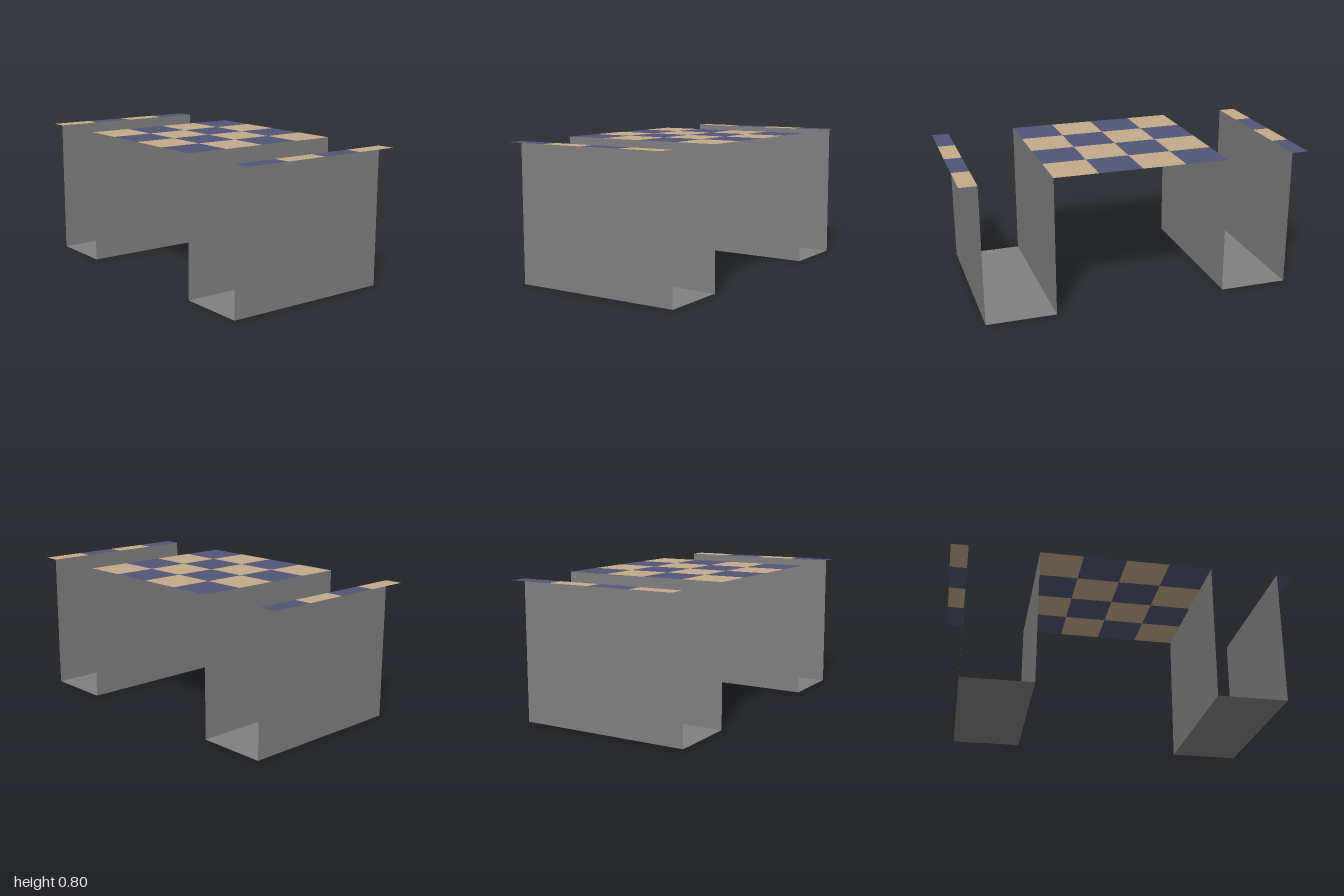
import * as THREE from 'three';

const HEIGHT = 0.8, DEPTH = 1, CELL = 0.25;

function material(name, color) {
  const m = new THREE.MeshStandardMaterial({ color, side: THREE.DoubleSide });
  m.name = name;
  return m;
}

export function createModel() {
  const model = new THREE.Group();
  model.name = 'checkeredPlatform';
  const navy = material('navy', 0x525575);
  const tan = material('tan', 0xc3ab8b);
  const grey = material('grey', 0x808080);

  function add(name, geometry, mat, x, y) {
    const mesh = new THREE.Mesh(geometry, mat);
    mesh.name = name;
    mesh.position.set(x, y, 0);
    model.add(mesh);
  }

  // Horizontal sheet whose squares alternate; column is the pattern index of its first square
  function checkerSheet(name, x0, x1, columns, column) {
    const rows = DEPTH / CELL;
    const g = new THREE.PlaneGeometry(x1 - x0, DEPTH, columns, rows).rotateX(-Math.PI / 2);
    for (let r = 0; r < rows; r++) {
      for (let c = 0; c < columns; c++) {
        g.addGroup((r * columns + c) * 6, 6, (r + c + column) % 2);
      }
    }
    add(name, g, [navy, tan], (x0 + x1) / 2, HEIGHT);
  }

  // Checkered top and the two narrow outer rims
  checkerSheet('checkeredTop', -0.5, 0.5, 4, 0);
  checkerSheet('rightRim', -1, -0.9, 1, 0);
  checkerSheet('leftRim', 0.9, 1, 1, 1);

  // Open-ended channel on each side: two walls and a floor
  for (const side of [-1, 1]) {
    const label = side > 0 ? 'left' : 'right';
    const wall = () => new THREE.PlaneGeometry(DEPTH, HEIGHT).rotateY(side * Math.PI / 2);
    add(label + 'InnerWall', wall(), grey, side * 0.5, HEIGHT / 2);
    add(label + 'OuterWall', wall().rotateY(Math.PI), grey, side * 0.9, HEIGHT / 2);
    add(label + 'ChannelFloor', new THREE.PlaneGeometry(0.4, DEPTH).rotateX(-Math.PI / 2), grey, side * 0.7, 0);
  }
  return model;
}
